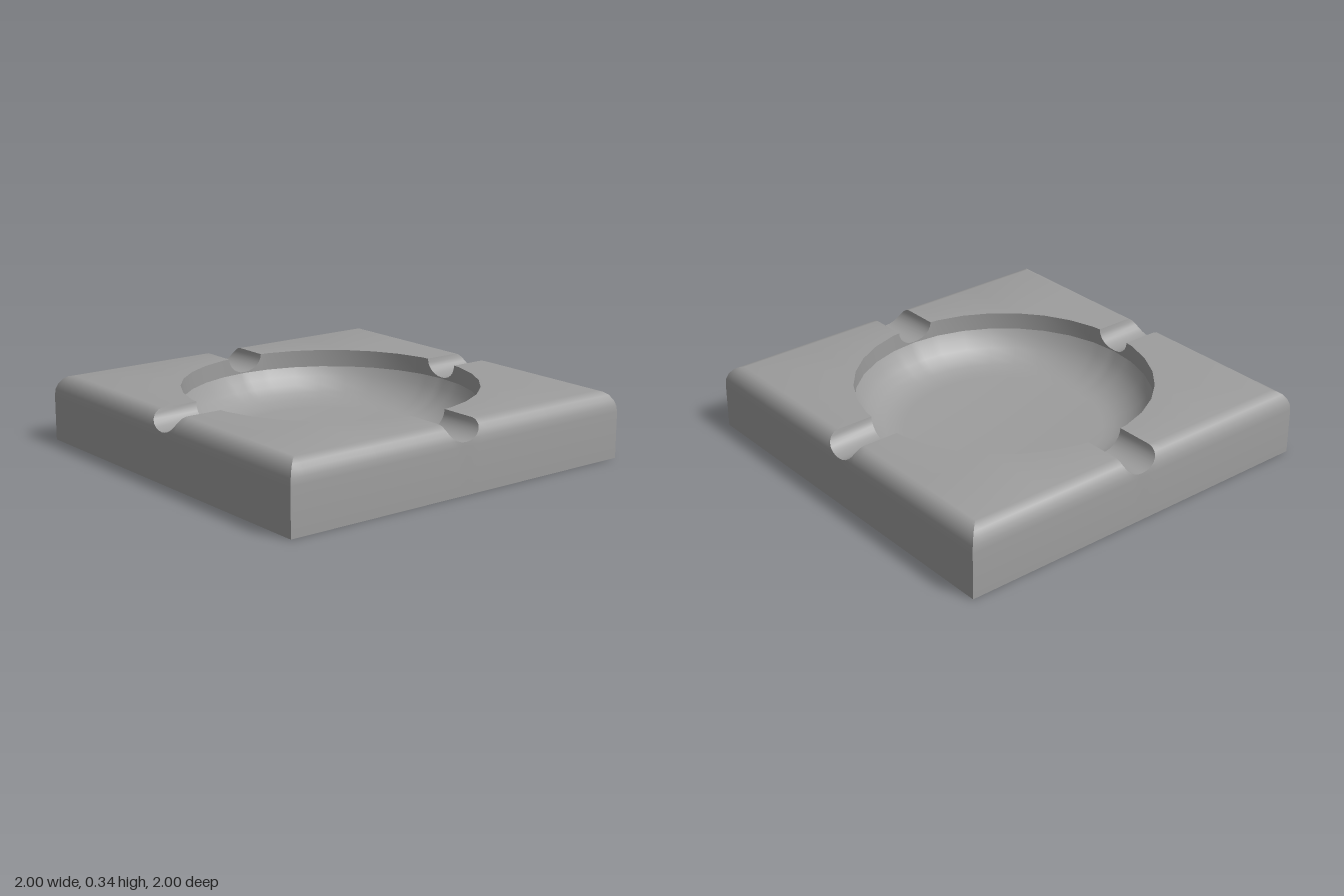
import * as THREE from 'three';
import { toCreasedNormals } from 'three/addons/utils/BufferGeometryUtils.js';

const H = 0.34;                       // overall height
const BW = 0.075, BH = 0.105;         // width and height of the rounded top edge
const R = 0.745, SEG = Math.PI / 16;  // bowl radius, angle of one of its 32 sides
const GW = 0.1025, GD = 0.085;        // half width and depth of a rest groove
const WALL = 0.25, FLOOR = 0.085;     // foot of the upright bowl wall, bowl floor

// Rounded outer edge, as x from y and as y from x
const edgeX = (y) => y <= H - BH ? 1 : 1 - BW + BW * Math.sqrt(Math.max(0, 1 - ((y - H + BH) / BH) ** 2));
const edgeY = (x) => x <= 1 - BW ? H : H - BH + BH * Math.sqrt(Math.max(0, 1 - ((x - 1 + BW) / BW) ** 2));

// Highest surface point at offset z: groove, flat top, or mitred corner
const topY = (z) => Math.abs(z) < GW ? H - GD * Math.sqrt(1 - (z / GW) ** 2) : edgeY(Math.abs(z));

// x of the 32-sided bowl rim at offset z
function rimX(z) {
  const k = Math.min(3, Math.floor(Math.asin(Math.min(1, Math.abs(z) / R)) / SEG + 1e-6));
  const z0 = R * Math.sin(k * SEG), z1 = R * Math.sin((k + 1) * SEG);
  return THREE.MathUtils.lerp(R * Math.cos(k * SEG), R * Math.cos((k + 1) * SEG), (Math.abs(z) - z0) / (z1 - z0));
}

// Join rows of points into triangles, leaving out collapsed ones
function skin(rows, out) {
  const t = new THREE.Triangle();
  const add = (a, b, c) => {
    t.set(a, b, c);
    if (t.getArea() > 1e-8) for (const p of [a, b, c]) out.push(p.x, p.y, p.z);
  };
  for (let i = 0; i < rows.length - 1; i++) {
    for (let j = 0; j < rows[i].length - 1; j++) {
      const a = rows[i][j], b = rows[i + 1][j], c = rows[i][j + 1], d = rows[i + 1][j + 1];
      add(a, b, c);
      add(b, d, c);
    }
  }
}

export function createModel() {
  const V = (x, y, z) => new THREE.Vector3(x, y, z);

  // Offsets at which one quarter of the tray is sectioned
  const half = [0];
  for (let i = 1; i <= 6; i++) half.push(GW * Math.sin(i * Math.PI / 12));
  for (let k = 1; k <= 4; k++) half.push(R * Math.sin(k * SEG));
  const edge = [];
  for (let i = 5; i >= 0; i--) {
    const a = i * Math.PI / 10;
    edge.push([1 - BW + BW * Math.cos(a), H - BH + BH * Math.sin(a)]);
  }
  edge.forEach(([x]) => half.push(x));
  const offsets = [...half.slice(1).reverse().map((z) => -z), ...half];

  // Outer body: top, groove, rounded edge, side and underside
  const body = offsets.map((z) => {
    const y = topY(z), az = Math.abs(z);
    const start = az <= R * Math.SQRT1_2 + 1e-6 ? rimX(z) : az;
    const row = [V(start, y, z)];
    for (const [, py] of edge) row.push(V(edgeX(Math.min(py, y)), Math.min(py, y), z));
    row.push(V(1, 0, z), V(0, 0, 0));
    return row;
  });

  // Bowl: flat floor, curved cove and upright wall
  const a0 = THREE.MathUtils.degToRad(22);
  const cove = (WALL - FLOOR) / (1 - Math.sin(a0));
  const floorR = R - cove * Math.cos(a0);
  const bowl = offsets.filter((z) => Math.abs(z) <= R * Math.SQRT1_2 + 1e-6).map((z) => {
    const x = rimX(z), row = [V(0, FLOOR, 0)];
    for (let i = 0; i <= 6; i++) {
      const a = THREE.MathUtils.lerp(Math.PI / 2, a0, i / 6);
      const s = (floorR + cove * Math.cos(a)) / R;
      row.push(V(x * s, FLOOR + cove * (1 - Math.sin(a)), z * s));
    }
    row.push(V(x, topY(z), z));
    return row;
  });

  // Four equal quarters make up each part
  const group = new THREE.Group();
  const material = new THREE.MeshStandardMaterial({ color: 0x9d9d9d });
  for (const [name, rows] of [['trayBody', body], ['bowl', bowl]]) {
    const positions = [];
    for (let q = 0; q < 4; q++) {
      skin(rows.map((row) => row.map((p) => p.clone().applyAxisAngle(V(0, 1, 0), q * Math.PI / 2))), positions);
    }
    const geometry = new THREE.BufferGeometry();
    geometry.setAttribute('position', new THREE.Float32BufferAttribute(positions, 3));
    const mesh = new THREE.Mesh(toCreasedNormals(geometry, 0.45), material);
    mesh.name = name;
    group.add(mesh);
  }
  return group;
}
